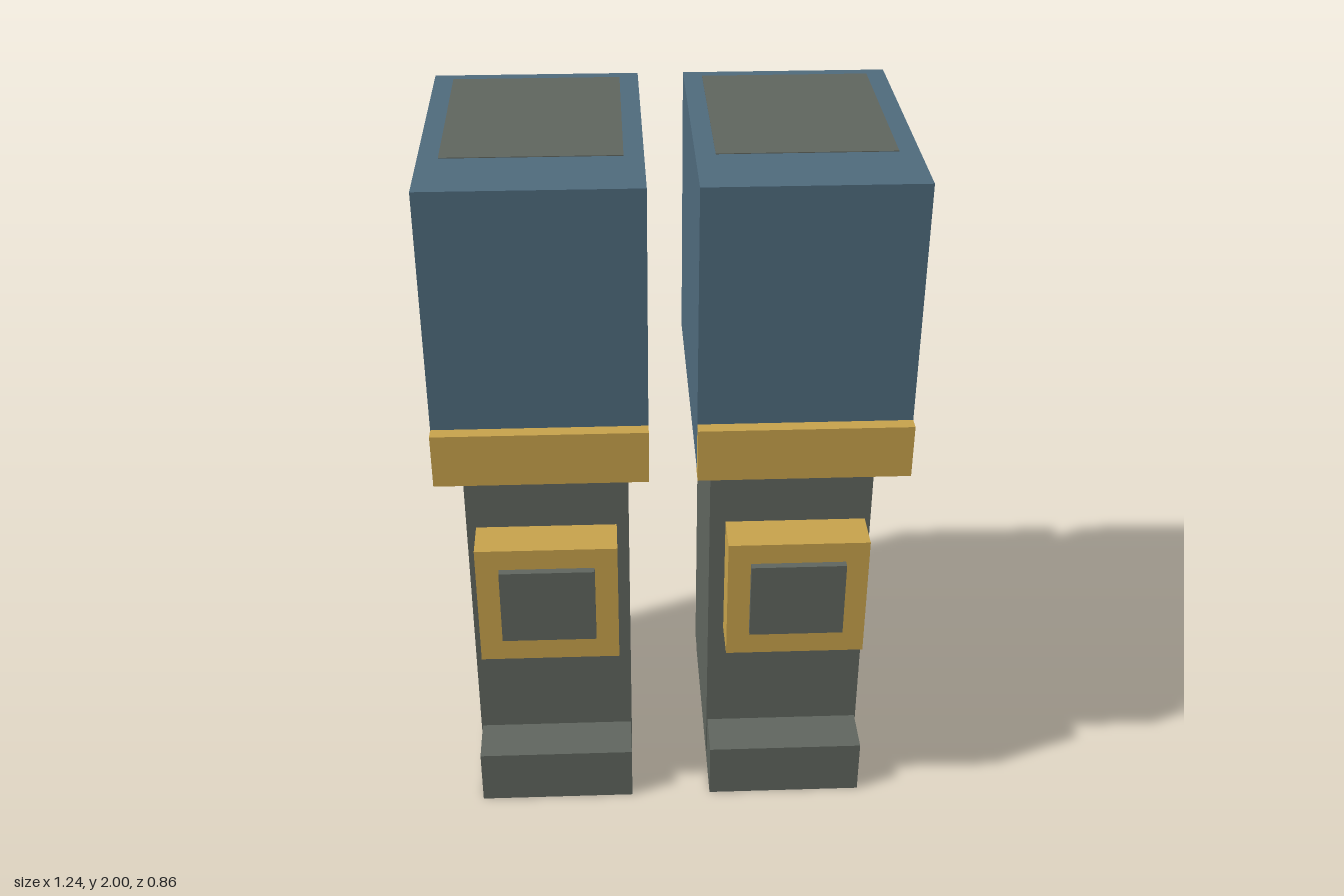
import * as THREE from 'three';

const steel = new THREE.MeshStandardMaterial({ name: 'steelBlue', color: 0x4f6b7d });
const grey = new THREE.MeshStandardMaterial({ name: 'stoneGrey', color: 0x60665f });
const gold = new THREE.MeshStandardMaterial({ name: 'gold', color: 0xc8a34c });

// Box given by its [min, max] range on each axis
function box(name, material, x, y, z) {
  const mesh = new THREE.Mesh(
    new THREE.BoxGeometry(x[1] - x[0], y[1] - y[0], z[1] - z[0]), material);
  mesh.position.set((x[0] + x[1]) / 2, (y[0] + y[1]) / 2, (z[0] + z[1]) / 2);
  mesh.name = name;
  return mesh;
}

export function createModel() {
  const model = new THREE.Group();
  model.name = 'armouredLegs';
  for (const side of [1, -1]) {
    const leg = new THREE.Group();
    leg.name = side > 0 ? 'leftLeg' : 'rightLeg';
    const range = (a, b) => side > 0 ? [a, b] : [-b, -a];

    // Inner leg runs up through the thigh armour and shows at its top
    leg.add(box('innerLeg', grey, range(0.114, 0.57), [0.05, 2], [-0.394, 0.178]));
    leg.add(box('foot', grey, range(0.117, 0.567), [0, 0.17], [-0.384, 0.316]));

    // Thigh armour with a trim band on its lower front edge
    leg.add(box('thighArmour', steel, range(0.063, 0.622), [1.21, 1.998], [-0.431, 0.385]));
    leg.add(box('thighTrim', gold, range(0.063, 0.622), [1.196, 1.345], [0.377, 0.421]));

    // Knee guard floating in front of the leg, with a raised centre
    leg.add(box('kneeGuard', gold, range(0.149, 0.532), [0.614, 0.979], [0.295, 0.411]));
    leg.add(box('kneeInset', grey, range(0.211, 0.469), [0.692, 0.918], [0.4, 0.431]));
    model.add(leg);
  }
  return model;
}
